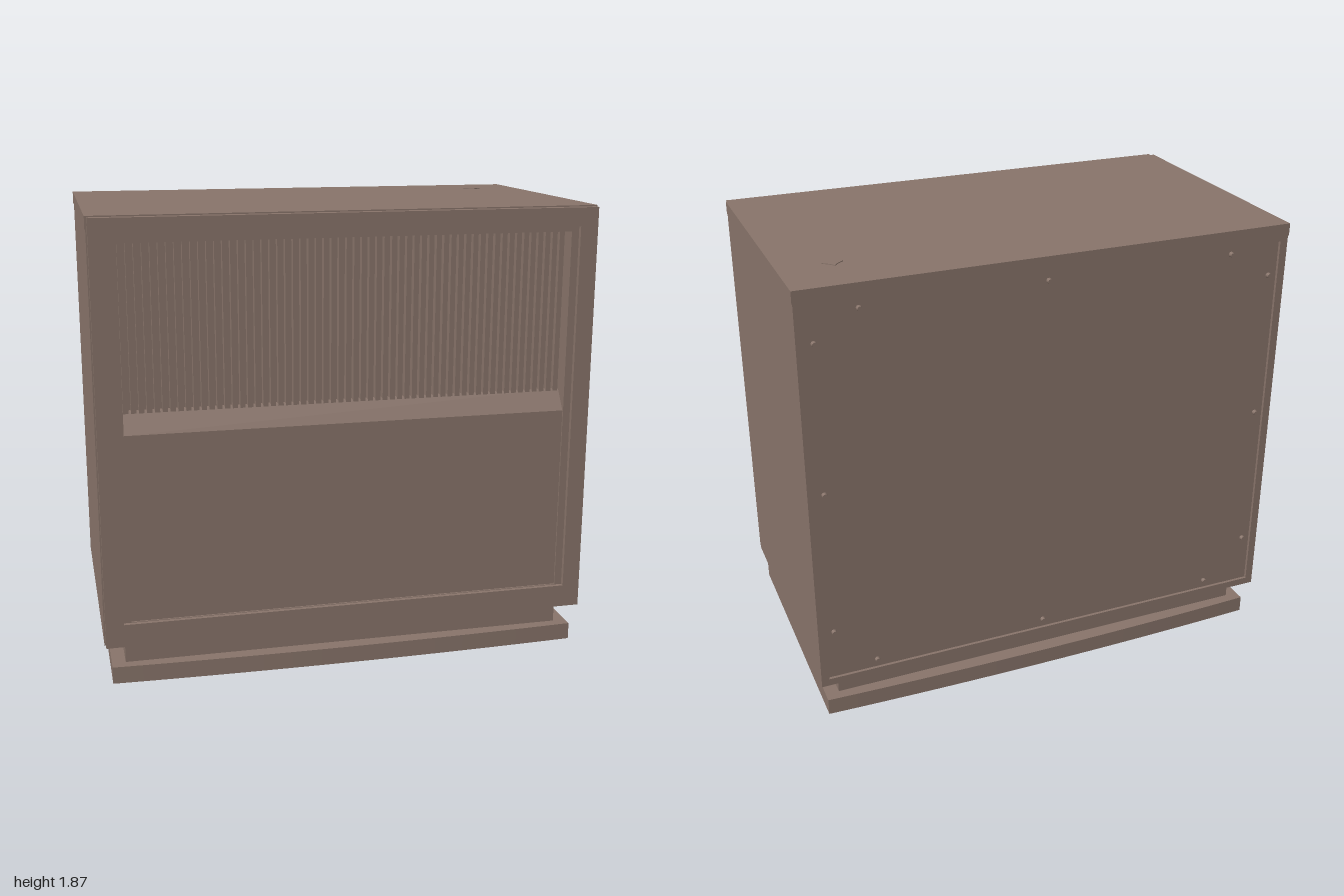
import * as THREE from 'three';

const wood = new THREE.MeshStandardMaterial({ color: 0x88746a });
wood.name = 'brown wood';

export function createModel() {
  const model = new THREE.Group();
  model.name = 'cabinet';

  function add(name, geometry, x = 0, y = 0, z = 0) {
    const mesh = new THREE.Mesh(geometry, wood);
    mesh.name = name;
    mesh.position.set(x, y, z);
    model.add(mesh);
    return mesh;
  }
  // box given by its lower and upper limits
  function box(name, x0, x1, y0, y1, z0, z1) {
    return add(name, new THREE.BoxGeometry(x1 - x0, y1 - y0, z1 - z0),
      (x0 + x1) / 2, (y0 + y1) / 2, (z0 + z1) / 2);
  }
  function rect(Type, w, y0, y1) {
    const p = new Type();
    p.moveTo(-w, y0);
    p.lineTo(w, y0);
    p.lineTo(w, y1);
    p.lineTo(-w, y1);
    p.closePath();
    return p;
  }
  // rectangular frame: outer and inner are [halfWidth, bottom, top]
  function frame(name, outer, inner, z0, z1) {
    const shape = rect(THREE.Shape, ...outer);
    shape.holes.push(rect(THREE.Path, ...inner));
    return add(name, new THREE.ExtrudeGeometry(shape, { depth: z1 - z0, bevelEnabled: false }), 0, 0, z0);
  }

  // Case: shell, lid, front frame and stepped inner rim
  frame('caseShell', [0.997, 0.185, 1.82], [0.965, 0.215, 1.8], -0.578, 0.545);
  box('lid', -1, 1, 1.82, 1.87, -0.58, 0.545);
  frame('frontFrame', [0.992, 0.187, 1.865], [0.92, 0.28, 1.79], 0.545, 0.58);
  frame('innerRim', [0.94, 0.265, 1.81], [0.89, 0.282, 1.77], 0.46, 0.562);
  box('backPanel', -0.965, 0.965, 0.215, 1.8, -0.566, -0.54);

  // Lower front panel with a sloping ledge on top
  const profile = new THREE.Shape();
  profile.moveTo(0.45, 0.28);
  profile.lineTo(0.555, 0.28);
  profile.lineTo(0.555, 1.04);
  profile.lineTo(0.5, 1.12);
  profile.lineTo(0.45, 1.12);
  profile.closePath();
  const panel = new THREE.ExtrudeGeometry(profile, { depth: 1.78, bevelEnabled: false });
  panel.rotateY(-Math.PI / 2); // profile (z, y), swept along x
  panel.translate(0.89, 0, 0);
  add('frontPanel', panel);

  // Grille of upright slats
  box('grilleBack', -0.9, 0.9, 1.1, 1.79, 0.44, 0.475);
  const slats = 59;
  const pitch = 1.78 / slats;
  for (let i = 0; i < slats; i++) {
    const x = -0.89 + (i + 0.5) * pitch;
    box('grilleSlat', x - pitch * 0.34, x + pitch * 0.34, 1.11, 1.775, 0.47, 0.505);
  }

  // Recessed plinth and slightly bowed base plate
  box('plinth', -0.915, 0.915, 0.085, 0.19, -0.51, 0.51);
  const base = new THREE.Shape();
  base.moveTo(-0.97, -0.55);
  base.quadraticCurveTo(0, -0.59, 0.97, -0.55);
  base.lineTo(0.97, 0.55);
  base.quadraticCurveTo(0, 0.59, -0.97, 0.55);
  base.closePath();
  const plate = new THREE.ExtrudeGeometry(base, { depth: 0.07, bevelEnabled: false, curveSegments: 16 });
  plate.rotateX(-Math.PI / 2);
  add('basePlate', plate, 0, 0.02, 0);

  // Feet
  for (const x of [-0.84, 0.84]) {
    for (const z of [-0.44, 0.44]) {
      add('foot', new THREE.CylinderGeometry(0.032, 0.022, 0.022, 16), x, 0.011, z);
    }
  }

  // Back panel screws
  const screw = new THREE.CylinderGeometry(0.009, 0.012, 0.018, 10);
  screw.rotateX(-Math.PI / 2);
  for (const x of [-0.75, 0.03, 0.76]) {
    for (const y of [0.25, 1.77]) add('screw', screw, x, y, -0.571);
  }
  for (const x of [-0.93, 0.93]) {
    for (const y of [0.43, 1.05, 1.66]) add('screw', screw, x, y, -0.571);
  }

  // Small four-pointed inlay on the lid
  const star = new THREE.Shape();
  star.moveTo(0.04, 0);
  for (let i = 0; i < 4; i++) {
    const a = (i + 1) * Math.PI / 2;
    const m = a - Math.PI / 4;
    star.quadraticCurveTo(Math.cos(m) * 0.02, Math.sin(m) * 0.02, Math.cos(a) * 0.04, Math.sin(a) * 0.04);
  }
  const inlay = new THREE.ExtrudeGeometry(star, { depth: 0.004, bevelEnabled: false, curveSegments: 6 });
  inlay.rotateX(-Math.PI / 2);
  add('lidInlay', inlay, 0.79, 1.869, -0.35);

  return model;
}
